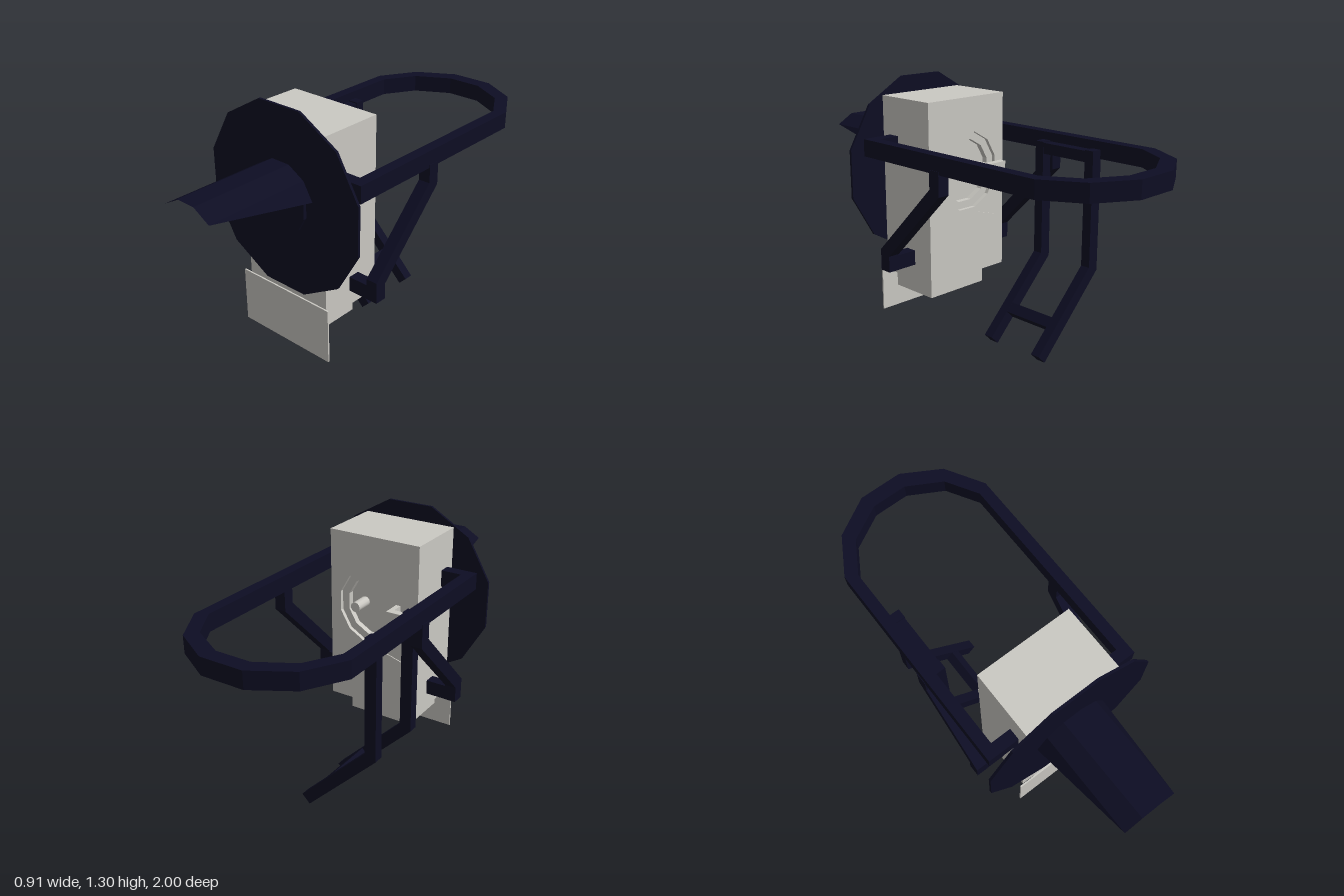
import * as THREE from 'three';

const shellGrey = new THREE.MeshStandardMaterial({ color: 0xcbc9c3 });
const frameNavy = new THREE.MeshStandardMaterial({ color: 0x0d0d23 });
const frameNavySheet = new THREE.MeshStandardMaterial({ color: 0x0d0d23, side: THREE.DoubleSide });
frameNavySheet.name = 'frameNavySheet';
shellGrey.name = 'shellGrey';
frameNavy.name = 'frameNavy';

export function createModel() {
  const model = new THREE.Group();

  function add(name, geometry, material) {
    const mesh = new THREE.Mesh(geometry, material);
    mesh.name = name;
    model.add(mesh);
    return mesh;
  }
  // box from its limits on each axis
  function block(name, material, x0, x1, y0, y1, z0, z1) {
    const geo = new THREE.BoxGeometry(x1 - x0, y1 - y0, z1 - z0);
    geo.translate((x0 + x1) / 2, (y0 + y1) / 2, (z0 + z1) / 2);
    return add(name, geo, material);
  }
  const toShape = (points) => new THREE.Shape(points.map(([x, y]) => new THREE.Vector2(x, y)));
  const extrude = (shape, depth) => new THREE.ExtrudeGeometry(shape, { depth, bevelEnabled: false });

  // outline of a flat bar with mitred bends along a path
  function ribbon(path, width) {
    const p = path.map(([x, y]) => new THREE.Vector2(x, y));
    const left = [], right = [];
    p.forEach((pt, i) => {
      const a = p[Math.max(i - 1, 0)], b = p[Math.min(i + 1, p.length - 1)];
      const d1 = (i > 0 ? pt.clone().sub(a) : b.clone().sub(pt)).normalize();
      const d2 = (i < p.length - 1 ? b.clone().sub(pt) : d1.clone()).normalize();
      const n1 = new THREE.Vector2(-d1.y, d1.x);
      const m = n1.clone().add(new THREE.Vector2(-d2.y, d2.x)).normalize();
      m.multiplyScalar(width / 2 / m.dot(n1));
      left.push(pt.clone().add(m));
      right.unshift(pt.clone().sub(m));
    });
    return new THREE.Shape([...left, ...right]);
  }
  // twelve-sided outline with a flat top
  function dodecagon(r, cy) {
    return Array.from({ length: 12 }, (_, i) => {
      const a = (i * 30 + 15) * Math.PI / 180;
      return [r * Math.cos(a), cy + r * Math.sin(a)];
    });
  }

  // main housing: solid front, stepped round recess in the back
  const cy = 0.85;
  block('housing', shellGrey, -0.25, 0.25, 0.31, 1.22, 0.17, 0.46);
  [[0.2, 0.12, 0.14], [0.16, 0.14, 0.17]].forEach(([r, z0, z1]) => {
    const wall = toShape([[-0.25, 0.31], [0.25, 0.31], [0.25, 1.22], [-0.25, 1.22]]);
    wall.holes.push(new THREE.Path(toShape(dodecagon(r, cy)).getPoints()));
    add('recessedBackWall', extrude(wall, z1 - z0).translate(0, 0, z0), shellGrey);
  });

  // controls on the back
  const knob = new THREE.CylinderGeometry(0.026, 0.026, 0.1, 12);
  add('knob', knob.rotateX(Math.PI / 2).translate(0.078, 0.855, 0.125), shellGrey);
  block('lever', shellGrey, -0.225, -0.1, 0.835, 0.875, 0.075, 0.112);
  block('leverStem', shellGrey, -0.125, -0.1, 0.835, 0.875, 0.11, 0.17);
  const tab = toShape([[-0.2, 0.59], [0, 0.59], [-0.06, 0.63]]);
  add('backTab', extrude(tab, 0.006).translate(0, 0, 0.115), shellGrey);

  // base and front plate
  block('base', shellGrey, -0.18, 0.18, 0.2, 0.31, 0.2, 0.472);
  block('frontPlate', shellGrey, -0.277, 0.277, 0.09, 0.375, 0.472, 0.48);

  // front shield and central disc
  add('shield', extrude(toShape(dodecagon(0.469, cy)), 0.013).translate(0, 0, 0.46), frameNavy);
  add('centreDisc', extrude(toShape(dodecagon(0.157, cy)), 0.017).translate(0, 0, 0.473), frameNavy);

  // hood: top of a twelve-sided sleeve, cut obliquely towards the tip
  const rim = [15, 45, 75, 105, 135, 165].map((deg) => {
    const a = deg * Math.PI / 180;
    return [0.197 * Math.cos(a), cy + 0.197 * Math.sin(a)];
  });
  const hoodPoints = [];
  rim.forEach(([x, y]) => hoodPoints.push(x, y, 0.473));
  rim.slice(1, 5).forEach(([x, y]) => hoodPoints.push(x, y, 1));
  const hood = new THREE.BufferGeometry();
  hood.setAttribute('position', new THREE.Float32BufferAttribute(hoodPoints, 3));
  hood.setIndex([0, 6, 1, 1, 6, 7, 1, 7, 2, 2, 7, 8, 2, 8, 3, 3, 8, 9, 3, 9, 4, 4, 9, 5]);
  const hoodFlat = hood.toNonIndexed();
  hoodFlat.computeVertexNormals();
  add('hood', hoodFlat, frameNavySheet);

  // carrying loop, drawn in plan
  const outer = [[0.412, 0.41], [0.412, -0.7], [0.3, -0.89], [0.11, -1]];
  const inner = [[0.355, 0.41], [0.355, -0.67], [0.26, -0.83], [0.09, -0.925]];
  const mirror = (pts) => pts.map(([x, z]) => [-x, z]);
  const plan = [...outer, ...mirror(outer).reverse(), ...mirror(inner), ...inner.slice().reverse()];
  const loop = extrude(toShape(plan.map(([x, z]) => [x, -z])), 0.085);
  add('handleLoop', loop.rotateX(-Math.PI / 2).translate(0, 0.945, 0), frameNavy);

  // side brackets and struts
  for (const s of [-1, 1]) {
    const span = [s * 0.25, s * 0.4].sort((a, b) => a - b);
    block('upperBracket', frameNavy, ...span, 0.945, 1.03, 0.35, 0.41);
    block('lowerBracket', frameNavy, ...span, 0.39, 0.465, 0.24, 0.3);
    const strut = extrude(ribbon([[-0.27, 0.39], [-0.27, 0.485], [0.1, 0.855], [0.1, 0.96]], 0.062), 0.06);
    add('strut', strut.rotateY(Math.PI / 2).translate(s * 0.385 - 0.03, 0, 0), frameNavy);
  }

  // bent stand legs with two crossbars
  for (const z of [-0.09, -0.405]) {
    const leg = extrude(ribbon([[-0.33, 0.99], [-0.33, 0.393], [0.039, 0.024]], 0.06), 0.05);
    add('standLeg', leg.translate(0, 0, z - 0.025), frameNavy);
  }
  block('upperCrossbar', frameNavy, -0.357, -0.303, 0.93, 0.985, -0.39, -0.11);
  const lower = new THREE.BoxGeometry(0.055, 0.055, 0.28);
  add('lowerCrossbar', lower.rotateZ(Math.PI / 4).translate(-0.0875, 0.153, -0.25), frameNavy);

  return model;
}
